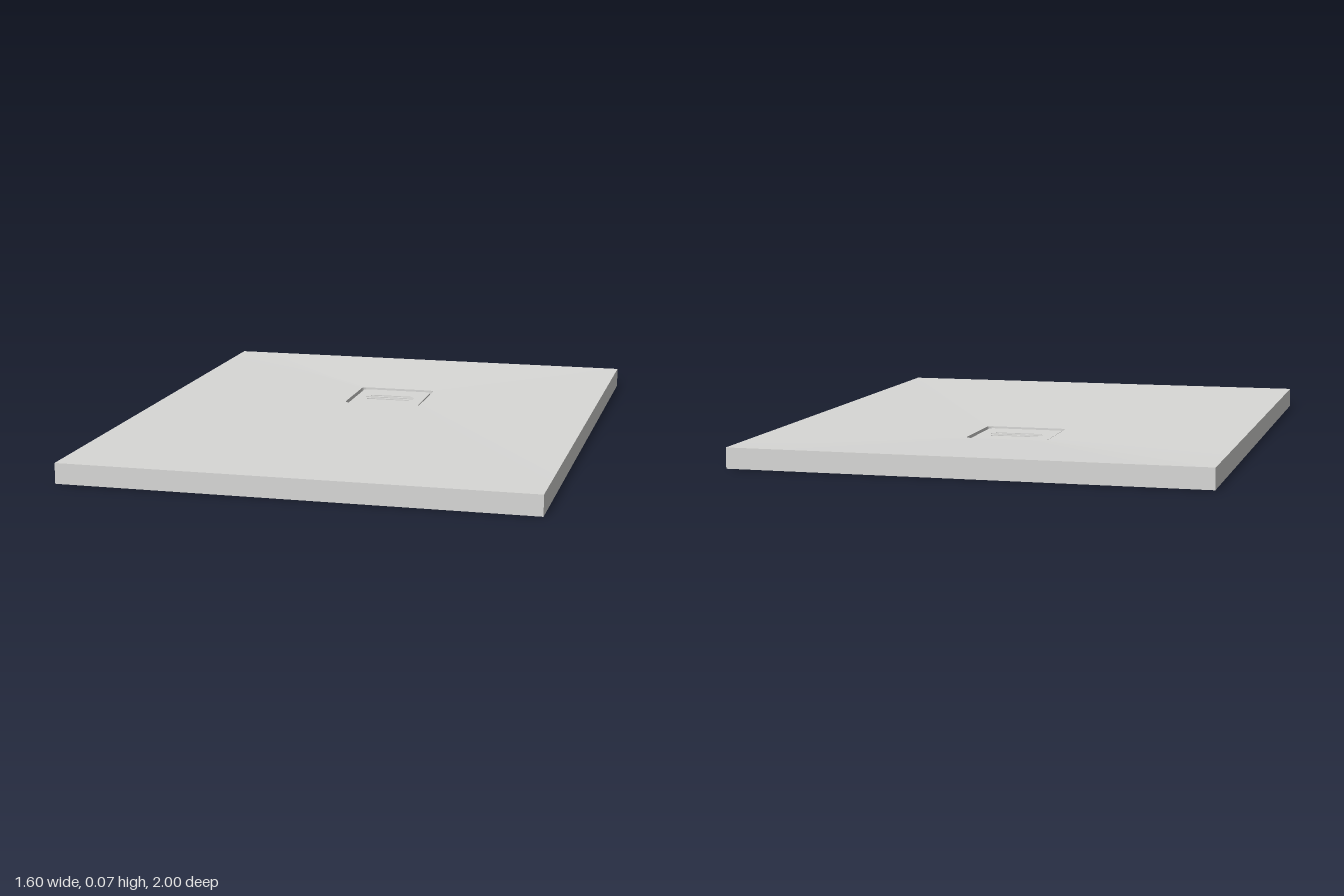
import * as THREE from 'three';
import { toCreasedNormals } from 'three/addons/utils/BufferGeometryUtils.js';

const DRAIN_Z = -0.343;
const ARC = 6, SIDE = 8;

// Rounded-rectangle loop of points at height y; every loop has the same point count
function ring(halfX, halfZ, r, y, cz = 0) {
  const corners = [[1, 1], [-1, 1], [-1, -1], [1, -1]];
  const arcs = corners.map(([sx, sz], k) => {
    const pts = [];
    for (let i = 0; i <= ARC; i++) {
      const a = (k + i / ARC) * Math.PI / 2;
      pts.push(new THREE.Vector3(
        sx * (halfX - r) + r * Math.cos(a), y, cz + sz * (halfZ - r) + r * Math.sin(a)));
    }
    return pts;
  });
  const loop = [];
  arcs.forEach((arc, k) => {
    loop.push(...arc);
    const from = arc[ARC], to = arcs[(k + 1) % 4][0];
    for (let i = 1; i < SIDE; i++) loop.push(from.clone().lerp(to, i / SIDE));
  });
  return loop;
}

// Skin between two loops
function band(a, b) {
  const n = a.length, index = [];
  for (let j = 0; j < n; j++) {
    const k = (j + 1) % n;
    index.push(j, n + j, k, k, n + j, n + k);
  }
  const geo = new THREE.BufferGeometry().setFromPoints([...a, ...b]);
  geo.setIndex(index);
  return toCreasedNormals(geo, 0.5);
}

// Stadium-shaped slot in the drain cover
function slot(halfLength, y, r) {
  const path = new THREE.Path();
  path.absarc(halfLength - r, y, r, -Math.PI / 2, Math.PI / 2, false);
  path.absarc(-halfLength + r, y, r, Math.PI / 2, Math.PI * 1.5, false);
  path.closePath();
  return path;
}

export function createModel() {
  const group = new THREE.Group();
  const stone = new THREE.MeshStandardMaterial({ color: 0xd8d8d6 });
  stone.name = 'pale grey stone';

  const add = (name, geo) => {
    const mesh = new THREE.Mesh(geo, stone);
    mesh.name = name;
    group.add(mesh);
    return mesh;
  };

  // Tray skin, from the middle of the underside round to the drain floor;
  // the hollow underside is undercut behind its rim
  const drainRing = (half, r, y) => ring(half, half, r, y, DRAIN_Z);
  const loops = [
    drainRing(0, 0, 0.004),
    drainRing(0.145, 0.028, 0.004),
    drainRing(0.145, 0.028, 0.042),
    ring(0.79, 0.99, 0.06, 0.042),
    ring(0.725, 0.925, 0.07, 0),
    ring(0.8, 1, 0, 0),
    ring(0.8, 1, 0, 0.07),
    drainRing(0.143, 0.02, 0.051),
    drainRing(0.143, 0.02, 0.035),
    drainRing(0.12, 0.02, 0.035),
    drainRing(0.12, 0.02, 0.012),
    drainRing(0, 0, 0.012),
  ];
  const names = [
    'drainBossBottom', 'drainBossWall', 'undersideHollow', 'undersideUndercut', 'undersideRim', 'trayEdge',
    'trayTop', 'drainRecessWall', 'drainLedge', 'drainWellWall', 'drainFloor',
  ];
  names.forEach((name, i) => add(name, band(loops[i], loops[i + 1])));

  // Drain cover with three slots
  const outline = ring(0.133, 0.133, 0.016, 0).map((p) => new THREE.Vector2(p.x, p.z));
  const shape = new THREE.Shape(outline);
  shape.holes.push(slot(0.083, -0.03, 0.008), slot(0.093, 0, 0.008), slot(0.083, 0.03, 0.008));
  const coverGeo = new THREE.ExtrudeGeometry(shape, { depth: 0.01, bevelEnabled: false, curveSegments: 8 });
  coverGeo.rotateX(-Math.PI / 2);
  const cover = add('drainCover', toCreasedNormals(coverGeo, 0.5));
  cover.position.set(0, 0.0355, DRAIN_Z);

  return group;
}
